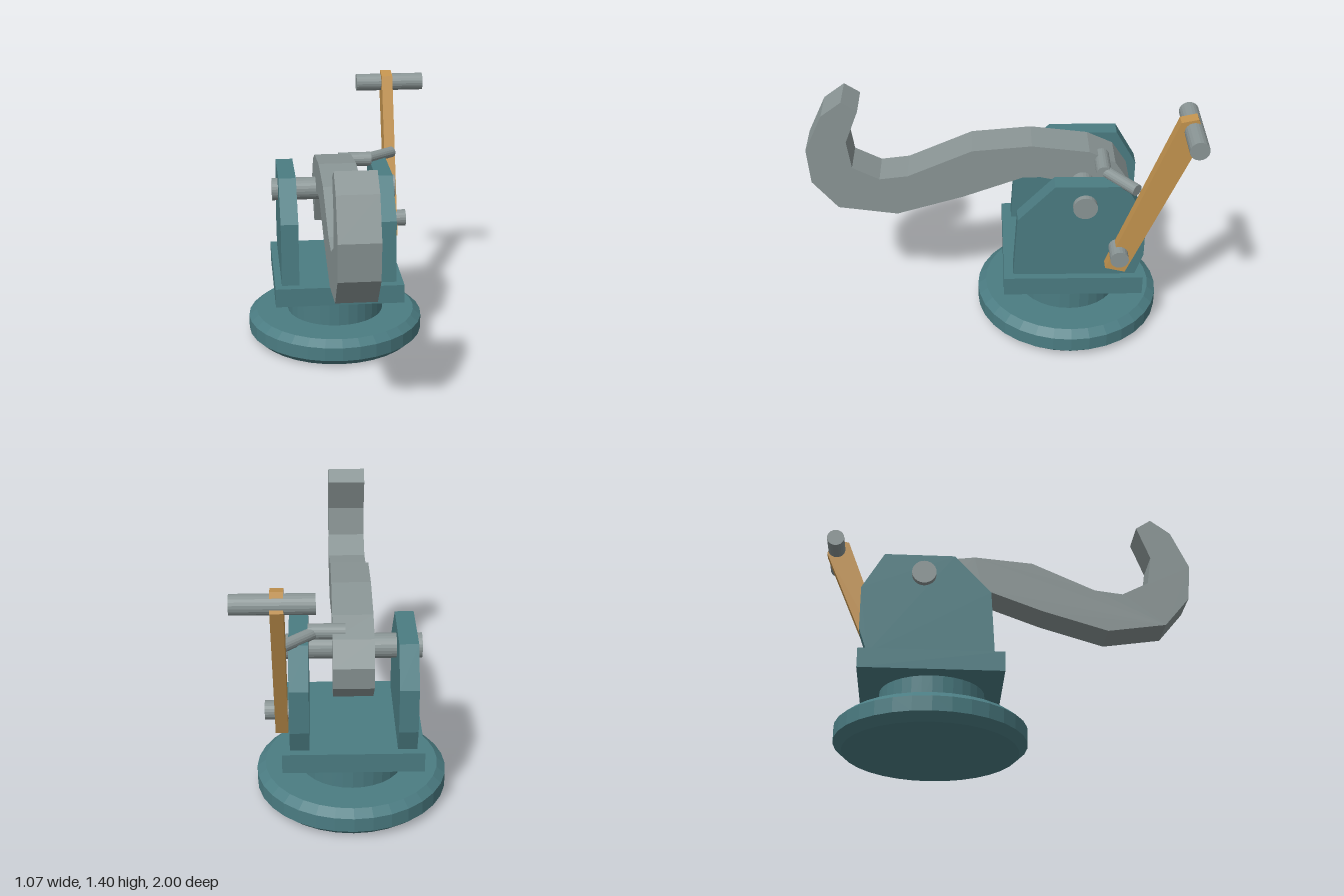
import * as THREE from 'three';

const mat = (name, color) => {
  const m = new THREE.MeshStandardMaterial({ color, flatShading: true });
  m.name = name;
  return m;
};

export function createModel() {
  const group = new THREE.Group();
  const teal = mat('teal paint', 0x4b7c82);
  const steel = mat('grey steel', 0x8a9595);
  const ochre = mat('ochre wood', 0xc4944f);

  const add = (name, geometry, material, x = 0, y = 0, z = 0) => {
    const mesh = new THREE.Mesh(geometry, material);
    mesh.name = name;
    mesh.position.set(x, y, z);
    group.add(mesh);
    return mesh;
  };

  // Slab cut from a side profile of [z, y] points, spanning x0 to x1
  const slab = (name, points, x0, x1, material) => {
    const shape = new THREE.Shape(points.map(([z, y]) => new THREE.Vector2(-z, y)));
    const geo = new THREE.ExtrudeGeometry(shape, { depth: x1 - x0, bevelEnabled: false });
    return add(name, geo.rotateY(Math.PI / 2), material, x0);
  };

  // Round bar between two points
  const rod = (name, from, to, radius, sides = 20) => {
    const a = new THREE.Vector3(...from), b = new THREE.Vector3(...to);
    const dir = b.clone().sub(a);
    const mesh = add(name, new THREE.CylinderGeometry(radius, radius, dir.length(), sides), steel);
    mesh.position.copy(a).add(b).multiplyScalar(0.5);
    mesh.quaternion.setFromUnitVectors(new THREE.Vector3(0, 1, 0), dir.normalize());
    return mesh;
  };

  // Bevelled turntable base, neck and square plate
  const cx = -0.036, cz = -0.379;
  const profile = [[0, 0], [0.453, 0], [0.497, 0.04], [0.497, 0.117], [0.453, 0.152], [0, 0.152]];
  add('base', new THREE.LatheGeometry(profile.map(p => new THREE.Vector2(...p)), 32), teal, cx, 0, cz);
  add('neck', new THREE.CylinderGeometry(0.273, 0.273, 0.18, 32), teal, cx, 0.235, cz);
  add('plate', new THREE.BoxGeometry(0.708, 0.105, 0.735), teal, cx, 0.3675, -0.388);

  // Pair of upright cheeks
  const cheek = [[-0.07, 0.41], [-0.09, 0.767], [-0.28, 0.97], [-0.642, 0.97],
    [-0.755, 0.775], [-0.755, 0.543], [-0.71, 0.41]];
  slab('rightCheek', cheek, -0.353, -0.257, teal);
  slab('leftCheek', cheek, 0.182, 0.279, teal);
  rod('axle', [-0.385, 0.858, -0.436], [0.309, 0.858, -0.436], 0.063, 24);

  // Curved hook arm with a short tail behind the axle
  slab('hookArm', [
    [0.719, 1.297], [0.799, 1.35], [0.906, 1.27], [1, 1.067], [0.984, 0.874],
    [0.853, 0.714], [0.543, 0.669], [0.195, 0.773], [-0.126, 0.893], [-0.216, 0.893],
    [-0.37, 0.86], [-0.48, 0.78], [-0.54, 0.626], [-0.675, 0.745], [-0.685, 0.86],
    [-0.605, 0.98], [-0.468, 1.045], [-0.168, 1.083], [0.142, 1.056], [0.479, 0.906],
    [0.628, 0.888], [0.767, 0.96], [0.789, 1.115],
  ], -0.14, 0.063, steel);

  // Linkage from the arm to the crank
  rod('linkPin', [0, 0.99, -0.535], [0.185, 0.99, -0.535], 0.04);
  rod('linkRod', [0.14, 0.988, -0.53], [0.325, 0.98, -0.69], 0.031, 16);

  // Crank lever with its grip and pivot
  slab('crankLever', [[-0.877, 1.385], [-0.96, 1.403], [-0.998, 1.313], [-0.652, 0.484], [-0.548, 0.51]],
    0.287, 0.349, ochre);
  rod('crankGrip', [0.143, 1.336, -0.944], [0.532, 1.336, -0.944], 0.049);
  rod('crankPivot', [0.27, 0.598, -0.615], [0.4, 0.598, -0.615], 0.048);

  return group;
}
